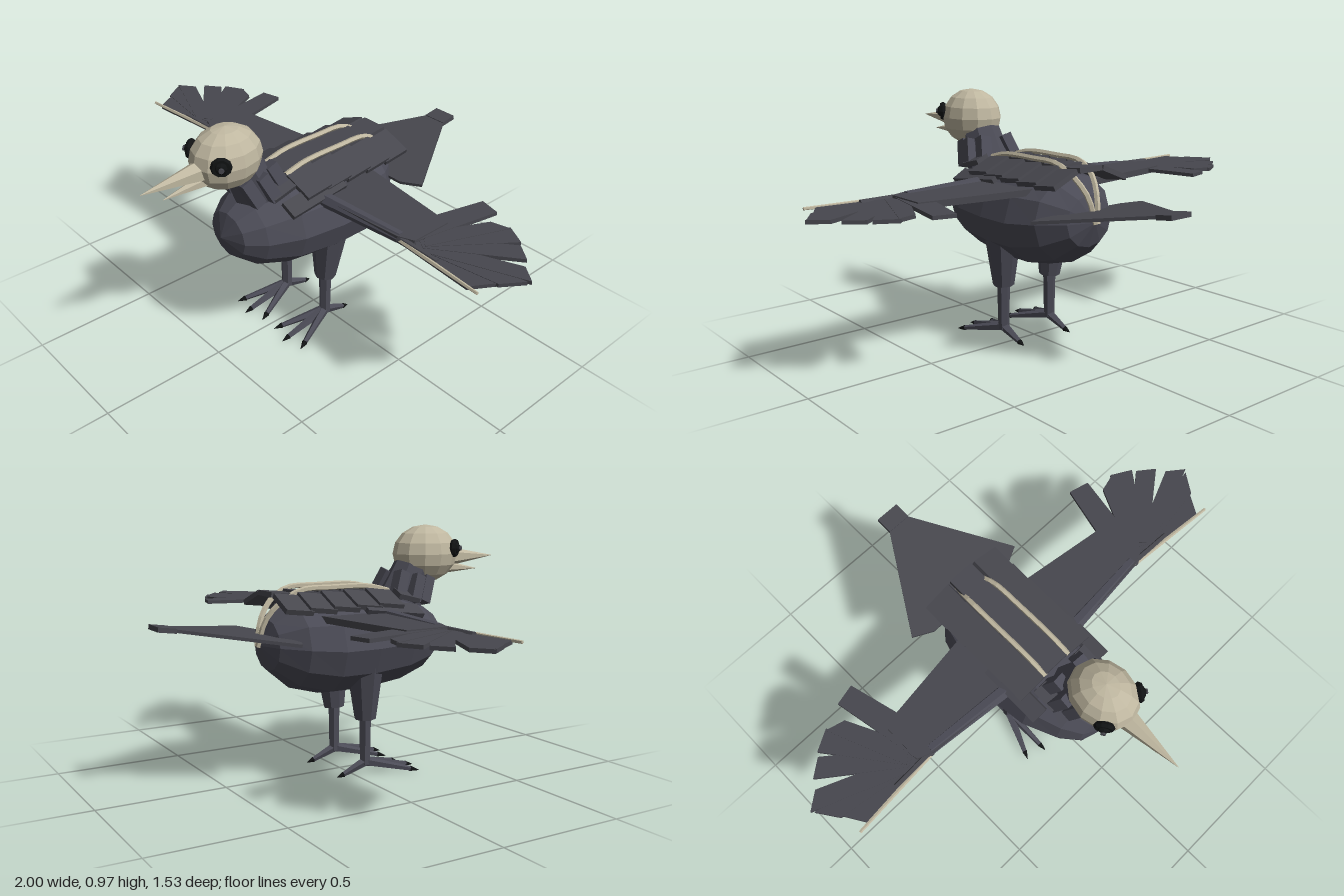
import * as THREE from 'three';

const flat = (name, color) => {
  const m = new THREE.MeshStandardMaterial({ color, flatShading: true });
  m.name = name;
  return m;
};

export function createModel() {
  const root = new THREE.Group();
  root.name = 'bird';
  const plumage = flat('slate plumage', 0x4b4b56);
  const feather = flat('dark feather', 0x47474e);
  const bone = flat('pale bone', 0xbfb7a0);
  const black = flat('black', 0x111314);

  const add = (name, geo, mat, parent = root) => {
    const m = new THREE.Mesh(geo, mat);
    m.name = name;
    parent.add(m);
    return m;
  };
  // Tapered rod between two points
  const rod = (name, a, b, ra, rb, mat, sides = 6, parent = root) => {
    const p = new THREE.Vector3(...a), q = new THREE.Vector3(...b);
    const d = q.clone().sub(p);
    const m = add(name, new THREE.CylinderGeometry(rb, ra, d.length(), sides), mat, parent);
    m.position.copy(p).add(q).multiplyScalar(0.5);
    m.quaternion.setFromUnitVectors(new THREE.Vector3(0, 1, 0), d.normalize());
    return m;
  };
  // Flat plate from an [x, z] outline, with its top at height y
  const plate = (name, pts, y, t, mat, parent = root) => {
    const shape = new THREE.Shape(pts.map(([x, z]) => new THREE.Vector2(x, z)));
    const g = new THREE.ExtrudeGeometry(shape, { depth: t, bevelEnabled: false });
    g.rotateX(Math.PI / 2);
    const m = add(name, g, mat, parent);
    m.position.y = y;
    return m;
  };

  // Body: rings from breast to rump [z, centre y, half width, half height]
  const rings = [
    [0.455, 0.53, 0, 0], [0.42, 0.53, 0.1, 0.09], [0.35, 0.525, 0.155, 0.14],
    [0.22, 0.525, 0.21, 0.18], [0.05, 0.52, 0.228, 0.195], [-0.1, 0.52, 0.228, 0.195],
    [-0.23, 0.53, 0.19, 0.17], [-0.32, 0.535, 0.11, 0.1], [-0.355, 0.535, 0, 0],
  ];
  const body = new THREE.CylinderGeometry(1, 1, 1, 12, rings.length - 1, true);
  const pos = body.attributes.position;
  for (let i = 0; i < pos.count; i++) {
    const [z, cy, rx, ry] = rings[Math.floor(i / 13)];
    pos.setXYZ(i, pos.getX(i) * rx, z, pos.getZ(i) * ry - cy);
  }
  body.rotateX(Math.PI / 2);
  body.computeVertexNormals();
  add('body', body, plumage);

  // Neck with overlapping feather strips
  rod('neck', [0, 0.62, 0.26], [0, 0.83, 0.36], 0.1, 0.075, plumage, 8);
  for (const s of [-1, 1]) {
    for (const [x, y, z] of [[0.07, 0.715, 0.36], [0.09, 0.725, 0.3], [0.065, 0.74, 0.24]]) {
      const strip = add('neckFeather', new THREE.BoxGeometry(0.05, 0.11, 0.045), plumage);
      strip.position.set(s * x, y, z);
      strip.rotation.set(0.42, 0, s * 0.25);
    }
    const flap = add('collarFeather', new THREE.BoxGeometry(0.06, 0.02, 0.1), feather);
    flap.position.set(s * 0.1, 0.7, 0.25);
    flap.rotation.set(0.25, 0, -s * 0.35);
  }

  // Head and open beak
  const head = add('head', new THREE.SphereGeometry(1, 12, 8), bone);
  head.scale.set(0.115, 0.118, 0.14);
  head.position.set(0, 0.857, 0.41);
  rod('upperBeak', [0, 0.84, 0.52], [0, 0.838, 0.765], 0.042, 0.001, bone, 6);
  rod('lowerBeak', [0, 0.8, 0.49], [0, 0.785, 0.68], 0.03, 0.001, bone, 6);

  for (const s of [-1, 1]) {
    // Eyes
    const eye = new THREE.Group();
    eye.name = s > 0 ? 'leftEye' : 'rightEye';
    eye.position.set(s * 0.088, 0.88, 0.495);
    eye.rotation.y = s * 0.95;
    root.add(eye);
    add('eyeRim', new THREE.TorusGeometry(0.026, 0.013, 6, 10), black, eye);
    add('eyeball', new THREE.SphereGeometry(0.026, 8, 6), black, eye);
    const iris = add('iris', new THREE.CylinderGeometry(0.01, 0.01, 0.006, 8), feather, eye);
    iris.rotation.x = Math.PI / 2;
    iris.position.z = 0.026;

    // Wings
    const wing = new THREE.Group();
    wing.name = s > 0 ? 'leftWing' : 'rightWing';
    root.add(wing);
    const mir = (pts) => pts.map(([x, z]) => [s * x, z]);
    plate('innerWing', mir([[0.1, 0.13], [0.54, 0.095], [0.6, 0.07], [0.6, -0.1], [0.54, -0.11], [0.1, -0.17]]),
      0.65, 0.025, feather, wing);
    rod('wingArm', [s * 0.12, 0.636, 0.11], [s * 0.54, 0.634, 0.075], 0.03, 0.022, plumage, 6, wing);
    rod('wingHand', [s * 0.54, 0.634, 0.085], [s * 0.72, 0.634, 0.09], 0.015, 0.012, feather, 6, wing);
    rod('wingBone', [s * 0.54, 0.635, 0.09], [s * 0.92, 0.635, 0.122], 0.009, 0.006, bone, 5, wing);
    // Flight feathers: [outer tip corners, root corners]
    const fan = [
      [[0.585, -0.31], [0.667, -0.29], [0.6, 0.06], [0.525, -0.08]],
      [[0.665, -0.265], [0.75, -0.225], [0.64, 0.06], [0.57, 0]],
      [[0.76, -0.25], [0.84, -0.205], [0.64, 0.06], [0.57, 0]],
      [[0.85, -0.19], [0.915, -0.14], [0.64, 0.07], [0.57, 0.03]],
      [[0.935, -0.105], [1, -0.055], [0.64, 0.09], [0.57, 0.05]],
      [[0.99, -0.045], [0.935, 0.035], [0.58, 0.09], [0.54, 0.03]],
      [[0.93, 0.03], [0.875, 0.12], [0.54, 0.09], [0.54, 0.02]],
    ];
    // The second feather sits just behind its neighbour, leaving one deep notch
    fan[1] = [[0.69, -0.225], [0.765, -0.245], [0.64, 0.06], [0.58, 0]];
    fan.forEach((f, i) => plate('flightFeather', mir(f), 0.645 - i * 0.0015, 0.014, feather, wing));

    // Legs
    const leg = new THREE.Group();
    leg.name = s > 0 ? 'leftLeg' : 'rightLeg';
    root.add(leg);
    const x = s * 0.12;
    rod('thigh', [s * 0.13, 0.45, 0.035], [x, 0.23, 0.045], 0.075, 0.043, plumage, 8, leg);
    rod('shank', [x, 0.24, 0.045], [x, 0.045, 0.045], 0.026, 0.022, plumage, 6, leg);
    for (const [dx, tz] of [[-0.07, 0.215], [0, 0.24], [0.07, 0.215], [0, -0.055]]) {
      const tip = [x + dx, 0.016, tz];
      rod('toe', [x, 0.055, 0.045], tip, 0.02, 0.01, plumage, 5, leg);
      const dir = tz > 0 ? 0.033 : -0.028;
      rod('claw', tip, [x + dx * 1.18, 0.008, tz + dir], 0.012, 0.001, black, 5, leg);
    }

    // Pale ridge along the back, curling down to the rump
    const path = [[0.06, 0.72, 0.19], [0.06, 0.742, 0.1], [0.06, 0.746, -0.08], [0.058, 0.742, -0.2],
      [0.045, 0.7, -0.28], [0.022, 0.63, -0.335], [0.004, 0.53, -0.36]];
    const curve = new THREE.CatmullRomCurve3(path.map(([px, y, z]) => new THREE.Vector3(s * px, y, z)));
    add('backRidge', new THREE.TubeGeometry(curve, 18, 0.011, 5), bone);

    // Shoulder plates
    const shoulder = add('shoulderPlate', new THREE.BoxGeometry(0.07, 0.02, 0.26), feather);
    shoulder.position.set(s * 0.165, 0.66, 0.14);
    shoulder.rotation.set(0.12, 0, -s * 0.5);
  }

  // Overlapping plates down the back
  for (let i = 0; i < 5; i++) {
    const z = 0.13 - i * 0.1;
    const mid = add('backPlate', new THREE.BoxGeometry(0.11, 0.02, 0.115), feather);
    mid.position.set(0, 0.724, z);
    mid.rotation.x = 0.1;
    for (const s of [-1, 1]) {
      const side = add('sidePlate', new THREE.BoxGeometry(0.125, 0.02, 0.115), feather);
      side.position.set(s * 0.122, 0.697, z);
      side.rotation.set(0.12, 0, -s * 0.4);
    }
  }

  // Tail fan, converging to a blunt tip
  const tail = new THREE.Group();
  tail.name = 'tail';
  tail.position.set(0, 0.56, -0.26);
  tail.rotation.x = 0.14;
  root.add(tail);
  plate('tailFan', [[-0.2, -0.02], [0.2, -0.02], [0.28, -0.06], [0.05, -0.44], [0.045, -0.51],
    [-0.045, -0.51], [-0.05, -0.44], [-0.28, -0.06]], 0.006, 0.012, feather, tail);
  for (const s of [-1, 0, 1]) {
    const tip = add('tailTip', new THREE.BoxGeometry(0.035, 0.018, 0.07), feather, tail);
    tip.position.set(s * 0.032, 0, -0.475);
  }
  return root;
}
